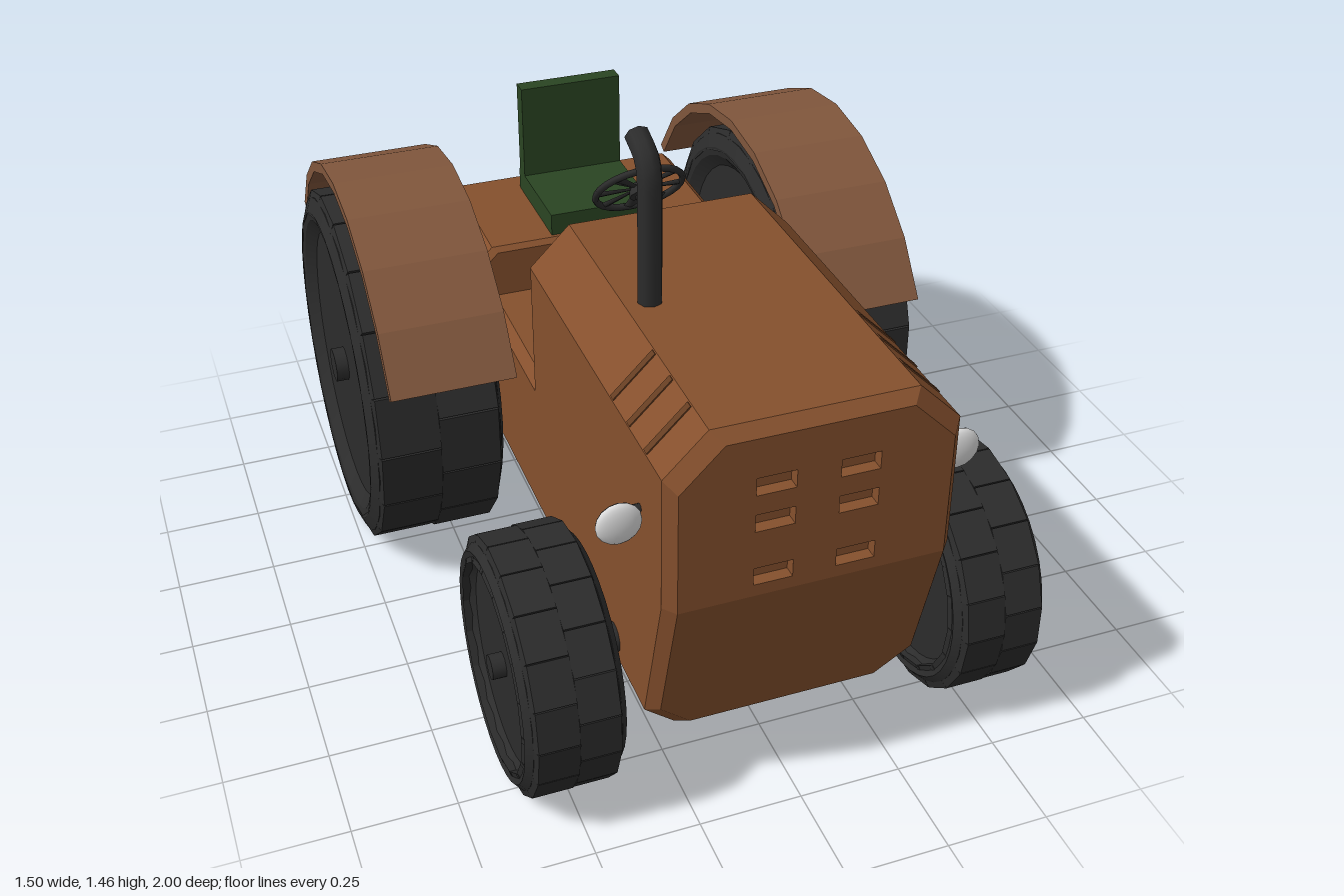
import * as THREE from 'three';
import { mergeGeometries, toCreasedNormals } from 'three/addons/utils/BufferGeometryUtils.js';

const mat = (name, color, side = THREE.FrontSide) => {
  const m = new THREE.MeshStandardMaterial({ color, side });
  m.name = name;
  return m;
};
const V = (x, y, z) => new THREE.Vector3(x, y, z);

export function createModel() {
  const model = new THREE.Group();
  model.name = 'tractor';
  const paint = mat('orange brown paint', 0x85502d);
  const groove = mat('dark brown groove', 0x653d22);
  const fenderPaint = mat('fender brown', 0x80563c);
  const black = mat('black rubber and metal', 0x2c2c2c, THREE.DoubleSide);
  const green = mat('green seat', 0x2a4522);
  const white = mat('headlight white', 0xdedede);

  const add = (name, geo, material, x = 0, y = 0, z = 0, parent = model) => {
    const mesh = new THREE.Mesh(geo, material);
    mesh.name = name;
    mesh.position.set(x, y, z);
    parent.add(mesh);
    return mesh;
  };
  const box = (name, w, h, d, material, x, y, z, parent) =>
    add(name, new THREE.BoxGeometry(w, h, d), material, x, y, z, parent);
  const rod = (name, a, b, r, material = black, sides = 10) => {
    const m = add(name, new THREE.CylinderGeometry(r, r, a.distanceTo(b), sides), material);
    m.position.copy(a).add(b).multiplyScalar(0.5);
    m.quaternion.setFromUnitVectors(V(0, 1, 0), b.clone().sub(a).normalize());
    return m;
  };
  const tube = (name, points, r, tension = 0.3) =>
    add(name, new THREE.TubeGeometry(new THREE.CatmullRomCurve3(points, false, 'catmullrom', tension), 20, r, 8), black);

  // Ten-cornered body section, counter-clockwise from the front
  const ring = (top, chamfer, inset, zAt) => {
    const w = 0.335 - inset, t = top - inset, b = 0.18 + inset;
    const mid = Math.min(0.64, t - chamfer - 0.05);
    const half = [[w - 0.08, b], [w, b + 0.08], [w, mid], [w, t - chamfer], [w - chamfer, t]];
    return [...half, ...half.map(([x, y]) => [-x, y]).reverse()].map(([x, y]) => V(x, y, zAt(y)));
  };
  // Skin rings from back to front; the front cap may cover only some corners
  const loft = (rings, frontCap = [0, 1, 2, 3, 4, 5, 6, 7, 8, 9]) => {
    const p = [];
    const tri = (...c) => c.forEach(v => p.push(v.x, v.y, v.z));
    for (let k = 0; k < rings.length - 1; k++) {
      const a = rings[k], b = rings[k + 1];
      for (let i = 0; i < 10; i++) {
        const j = (i + 1) % 10;
        tri(a[i], a[j], b[j]);
        tri(a[i], b[j], b[i]);
      }
    }
    const back = rings[0], front = frontCap.map(i => rings[rings.length - 1][i]);
    for (let i = 1; i < 9; i++) tri(back[0], back[i + 1], back[i]);
    for (let i = 1; i < front.length - 1; i++) tri(front[0], front[i], front[i + 1]);
    const g = new THREE.BufferGeometry();
    g.setAttribute('position', new THREE.Float32BufferAttribute(p, 3));
    g.computeVertexNormals();
    return g;
  };

  // Hood with a nose that slopes back below y = 0.64
  const nose = y => 1 - Math.max(0, 0.64 - y) * 0.28;
  const noseRing = ring(1.07, 0.1, 0.025, nose);
  add('hood', loft([
    ring(1.07, 0.1, 0.025, () => 0.03), ring(1.07, 0.1, 0, () => 0.06),
    ring(1.07, 0.1, 0, y => nose(y) - 0.03), noseRing,
  ], [7, 8, 9, 0, 1, 2]), paint);

  // Upper nose panel with six open grille slots and a plate behind them
  const panel = new THREE.Shape(noseRing.slice(2, 8).map(v => new THREE.Vector2(v.x, v.y)));
  for (const s of [-1, 1]) for (const y of [0.925, 0.832, 0.692]) {
    const x = s * 0.095, w = 0.045, h = 0.022;
    panel.holes.push(new THREE.Path([[-w, -h], [-w, h], [w, h], [w, -h]]
      .map(([dx, dy]) => new THREE.Vector2(x + dx, y + dy))));
  }
  add('grillePanel', new THREE.ExtrudeGeometry(panel, { depth: 0.03, bevelEnabled: false }), paint, 0, 0, 0.97);
  box('grilleBacking', 0.4, 0.34, 0.01, paint, 0, 0.81, 0.966);

  // Footwell and raised seat deck
  add('footwell', loft([ring(0.64, 0.025, 0, () => -0.4), ring(0.64, 0.025, 0, () => 0.07)]), paint);
  add('seatDeck', loft([
    ring(0.78, 0.025, 0.025, () => -0.8), ring(0.78, 0.025, 0, () => -0.775),
    ring(0.78, 0.025, 0, () => -0.4), ring(0.78, 0.025, 0.012, () => -0.385),
  ]), paint);

  // Hood vent grooves
  for (const s of [-1, 1]) for (const z of [0.87, 0.765, 0.66])
    box('hoodGroove', 0.135, 0.006, 0.018, groove, s * 0.285, 1.02, z).rotation.z = -s * Math.PI / 4;

  // Seat
  box('seatCushion', 0.28, 0.06, 0.3, green, 0, 0.81, -0.56);
  box('seatBack', 0.28, 0.32, 0.045, green, 0, 0.94, -0.68);

  // Wheels: dished tyre and two staggered rows of lugs
  const makeWheel = (name, R, h, hubR, x, y, z) => {
    const wheel = new THREE.Group();
    wheel.name = name;
    wheel.position.set(x, y, z);
    model.add(wheel);
    const side = [[0, h - 0.03], [R * 0.76, h - 0.03], [R * 0.83, h - 0.005], [R * 0.88, h], [R - 0.02, h - 0.015]];
    const profile = [...side.map(([r, a]) => [r, -a]), ...side.slice().reverse()]
      .map(([r, a]) => new THREE.Vector2(r, a));
    const tyre = toCreasedNormals(new THREE.LatheGeometry(profile, 36), 0.4);
    add('tyre', tyre.rotateZ(Math.PI / 2), black, 0, 0, 0, wheel);
    const lugs = [], n = 18, top = R * Math.cos(Math.PI / n);
    for (const s of [-1, 1]) for (let i = 0; i < n; i++) {
      const g = new THREE.BoxGeometry(h, 0.06, 2 * R * Math.sin(Math.PI / n) * 0.97);
      const p = g.attributes.position;
      for (let k = 0; k < p.count; k++)
        if (p.getX(k) * s > 0 && p.getY(k) > 0) p.setX(k, p.getX(k) - s * 0.022);
      g.computeVertexNormals();
      g.translate(s * h / 2, top - 0.03, 0);
      lugs.push(g.rotateX((i + (s > 0 ? 0.5 : 0)) * 2 * Math.PI / n));
    }
    add('treadLugs', mergeGeometries(lugs), black, 0, 0, 0, wheel);
    add('hub', new THREE.CylinderGeometry(hubR, hubR, 2 * h + 0.005, 12).rotateZ(Math.PI / 2), black, 0, 0, 0, wheel);
  };

  for (const s of [-1, 1]) {
    makeWheel('rearWheel', 0.475, 0.175, 0.045, s * 0.575, 0.478, -0.445);
    makeWheel('frontWheel', 0.305, 0.117, 0.03, s * 0.517, 0.308, 0.663);

    // Arched fender
    const arc = [], steps = 8, span = 1.065;
    for (const [r, dir] of [[0.628, 1], [0.6, -1]])
      for (let i = 0; i <= steps; i++) {
        const a = dir * span * (2 * i / steps - 1);
        arc.push(new THREE.Vector2(Math.sin(a) * r, Math.cos(a) * r));
      }
    const fender = new THREE.ExtrudeGeometry(new THREE.Shape(arc), { depth: 0.315, bevelEnabled: false });
    fender.translate(0, 0, -0.1575).rotateY(Math.PI / 2);
    add('fender', fender, fenderPaint, s * 0.5475, 0.388, -0.45);

    // Headlight: white lens, black shell and bent bracket
    const dome = new THREE.SphereGeometry(0.052, 16, 6, 0, Math.PI * 2, 0, Math.PI / 2).rotateX(Math.PI / 2);
    add('headlightLens', dome, white, s * 0.395, 0.81, 0.876).scale.z = 0.35;
    add('headlightShell', dome, black, s * 0.395, 0.81, 0.876).scale.z = -0.35;
    tube('headlightBracket', [V(s * 0.32, 0.81, 0.84), V(s * 0.37, 0.81, 0.84), V(s * 0.385, 0.81, 0.87)], 0.01);
  }

  // Axles
  rod('rearAxle', V(-0.45, 0.48, -0.445), V(0.45, 0.48, -0.445), 0.036, black, 14);
  rod('frontAxle', V(-0.45, 0.31, 0.663), V(0.45, 0.31, 0.663), 0.036, black, 14);

  // Exhaust pipe bent backwards at the top
  tube('exhaust', [V(-0.175, 1.05, 0.46), V(-0.175, 1.36, 0.46), V(-0.175, 1.415, 0.44), V(-0.175, 1.44, 0.38)], 0.029);

  // Steering wheel, facing up and back
  const steering = new THREE.Group();
  steering.name = 'steeringWheel';
  steering.position.set(0, 1.047, -0.102);
  steering.quaternion.setFromUnitVectors(V(0, 0, 1), V(0, 0.64, -0.77).normalize());
  model.add(steering);
  add('rim', new THREE.TorusGeometry(0.113, 0.009, 6, 24), black, 0, 0, 0, steering);
  for (let i = 0; i < 8; i++) {
    const spoke = new THREE.CylinderGeometry(0.019, 0.007, 0.1, 4).scale(1, 1, 0.3).translate(0, 0.06, 0);
    add('spoke', spoke, black, 0, 0, 0, steering).rotation.z = i * Math.PI / 4;
  }
  add('steeringHub', new THREE.CylinderGeometry(0.022, 0.03, 0.03, 10).rotateX(Math.PI / 2), black, 0, 0, -0.005, steering);
  rod('steeringColumn', V(0, 0.92, 0.045), V(0, 1.045, -0.1), 0.014);

  // Lever and pedals
  rod('leverRod', V(-0.16, 0.84, 0.04), V(-0.16, 0.965, -0.06), 0.006);
  add('leverKnob', new THREE.SphereGeometry(0.014, 10, 8), black, -0.16, 0.967, -0.062);
  for (const [x, w] of [[-0.09, 0.045], [0.1, 0.065]]) {
    rod('pedalArm', V(x, 0.7, 0.04), V(x, 0.68, -0.02), 0.007);
    box('pedal', w, 0.012, 0.08, black, x, 0.68, -0.02).rotation.x = -0.45;
  }

  // Tow hook
  tube('towHook', [V(0, 0.38, -0.78), V(0, 0.375, -0.85), V(0, 0.4, -0.885), V(0, 0.47, -0.885)], 0.014, 0.5);
  return model;
}
